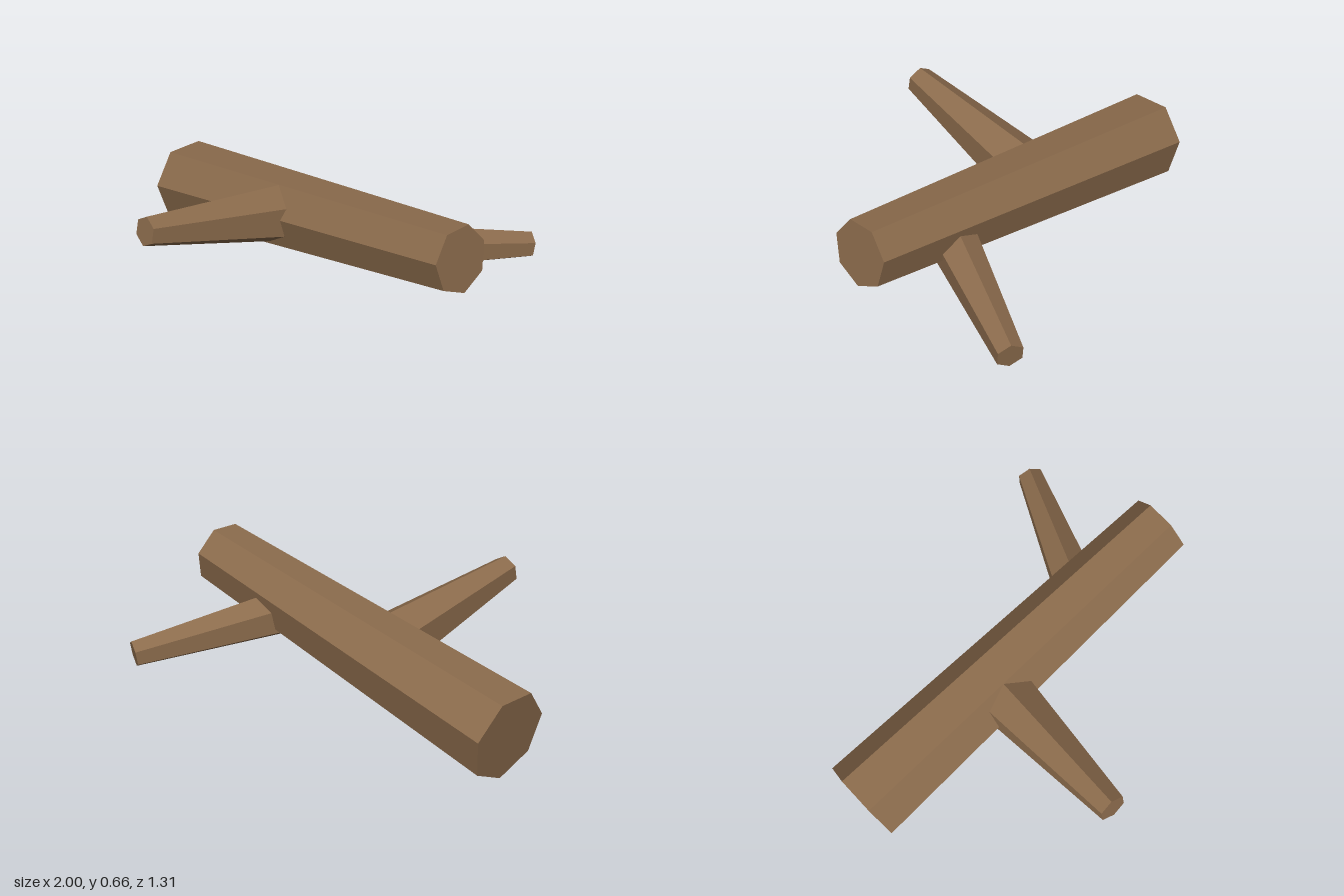
import * as THREE from 'three';

const bark = new THREE.MeshStandardMaterial({ color: 0x8b6b4c, flatShading: true });
bark.name = 'barkBrown';

// Tapered prism from base to tip, with its first corner turned from straight up by "turn"
function limb(name, base, tip, baseRadius, tipRadius, sides, turn = 0) {
  const a = new THREE.Vector3(...base);
  const b = new THREE.Vector3(...tip);
  const axis = b.clone().sub(a);
  const length = axis.length();
  axis.normalize();

  const up = new THREE.Vector3(0, 1, 0).addScaledVector(axis, -axis.y).normalize();
  const side = new THREE.Vector3().crossVectors(axis, up);
  const geometry = new THREE.CylinderGeometry(tipRadius, baseRadius, length, sides, 1, false, turn);

  const mesh = new THREE.Mesh(geometry, bark);
  mesh.name = name;
  mesh.quaternion.setFromRotationMatrix(new THREE.Matrix4().makeBasis(side, axis, up));
  mesh.position.copy(a).add(b).multiplyScalar(0.5);
  return mesh;
}

export function createModel() {
  const log = new THREE.Group();
  log.name = 'fallenLog';

  // Seven-sided trunk, thicker at its low end
  log.add(limb('trunk', [-0.93, 0.224, -0.449], [0.92, 0.524, 0.143], 0.22, 0.162, 7, Math.PI + 0.04));

  // Six-sided branch stubs growing out of the trunk
  log.add(limb('frontBranch', [-0.14, 0.355, -0.2], [-0.448, 0.524, 0.625], 0.16, 0.073, 6));
  log.add(limb('backBranch', [0.42, 0.38, -0.017], [0.947, 0.27, -0.61], 0.122, 0.067, 6));

  return log;
}
